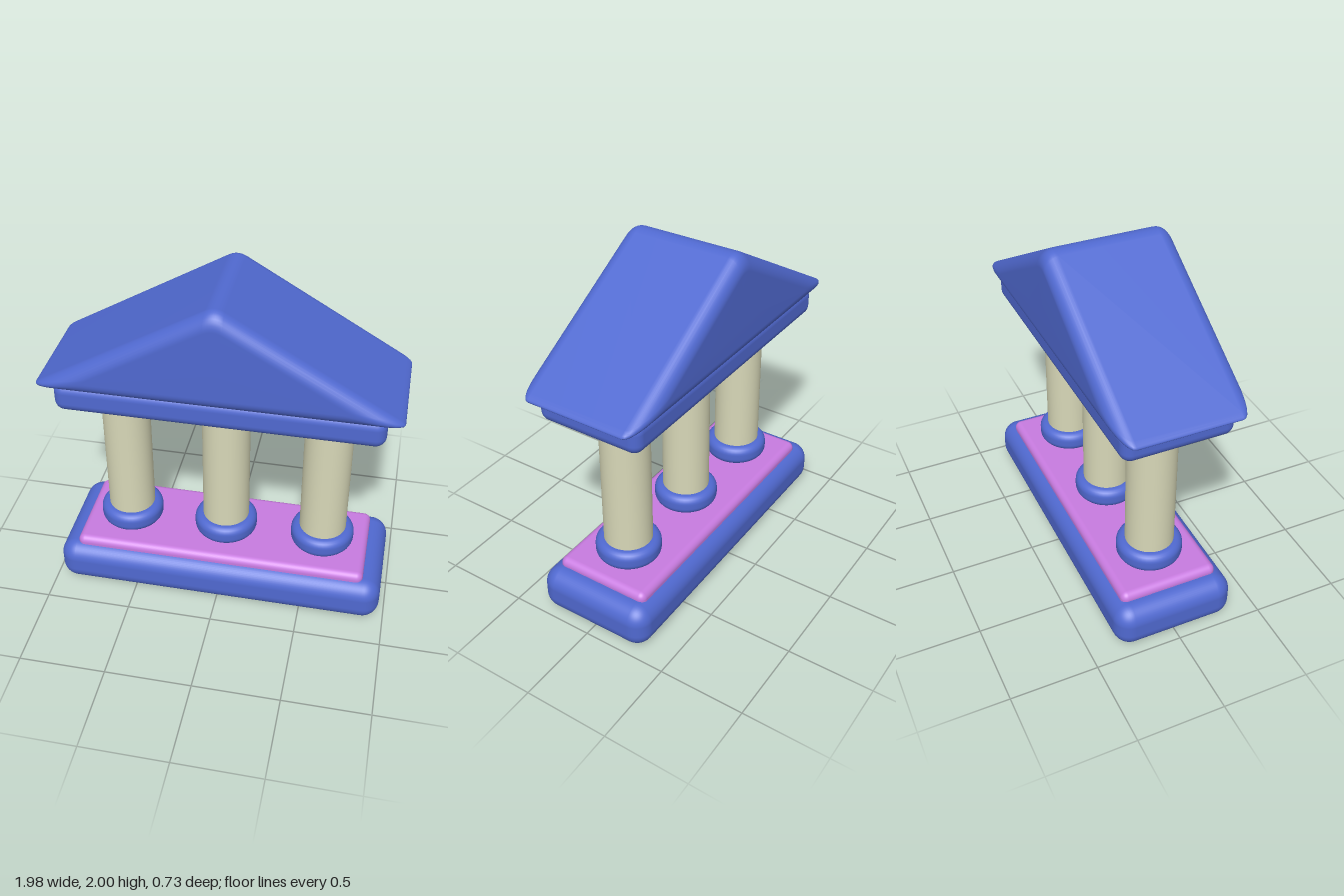
import * as THREE from 'three';
import { RoundedBoxGeometry } from 'three/addons/geometries/RoundedBoxGeometry.js';

const blue = new THREE.MeshStandardMaterial({ name: 'blue', color: 0x5069d0 });
const stone = new THREE.MeshStandardMaterial({ name: 'pale stone', color: 0xd8d8b8 });
const pink = new THREE.MeshStandardMaterial({ name: 'orchid pink', color: 0xc87be0 });

function addMesh(parent, name, geometry, material, x = 0, y = 0, z = 0) {
  const mesh = new THREE.Mesh(geometry, material);
  mesh.name = name;
  mesh.position.set(x, y, z);
  parent.add(mesh);
  return mesh;
}

// Rounded slab given by half width, bottom, top and half depth
function addSlab(parent, name, material, hx, y0, y1, hz, radius) {
  const geometry = new RoundedBoxGeometry(hx * 2, y1 - y0, hz * 2, 6, radius);
  addMesh(parent, name, geometry, material, 0, (y0 + y1) / 2, 0);
}

// Round disc with softened rims, standing on y = 0
function softDisc(radius, height, r) {
  const points = [new THREE.Vector2(0, 0)];
  const steps = 6;
  for (const [cy, start] of [[r, -Math.PI / 2], [height - r, 0]]) {
    for (let i = 0; i <= steps; i++) {
      const a = start + (i / steps) * Math.PI / 2;
      points.push(new THREE.Vector2(radius - r + r * Math.cos(a), cy + r * Math.sin(a)));
    }
  }
  points.push(new THREE.Vector2(0, height));
  return new THREE.LatheGeometry(points, 48);
}

// Triangle outline moved inward by d, with its three corners rounded
function roofOutline(d) {
  const bottom = 1.42, slope = 0.58, peak = 2.014;
  const y0 = bottom + d;
  const y1 = peak - d * Math.hypot(1, slope);
  const hx = (y1 - y0) / slope;
  const corners = [[-hx, y0], [hx, y0], [0, y1]].map(([x, y]) => new THREE.Vector2(x, y));
  const cuts = [0.078, 0.078, 0.058];
  const points = [];
  corners.forEach((c, i) => {
    const toward = (other) => c.clone().add(other.clone().sub(c).setLength(cuts[i]));
    const curve = new THREE.QuadraticBezierCurve(
      toward(corners[(i + 2) % 3]), c, toward(corners[(i + 1) % 3]));
    points.push(...curve.getPoints(8));
  });
  return points;
}

// Gabled roof: outlines stacked along z with a rounded bevel at both ends
function roofGeometry(halfDepth, bevel) {
  const rings = [];
  const steps = 8;
  for (const side of [-1, 1]) {
    for (let i = 0; i <= steps; i++) {
      const a = (side < 0 ? steps - i : i) / steps * Math.PI / 2;
      const z = side * (halfDepth - bevel + bevel * Math.sin(a));
      rings.push(roofOutline(bevel * (1 - Math.cos(a))).map((p) => [p.x, p.y, z]));
    }
  }
  const n = rings[0].length;
  const positions = rings.flat(2);
  const index = [];
  for (let r = 0; r < rings.length - 1; r++) {
    for (let i = 0; i < n; i++) {
      const j = (i + 1) % n;
      const a = r * n + i, b = r * n + j, c = a + n, e = b + n;
      index.push(a, b, e, a, e, c);
    }
  }
  // Flat gable ends
  const back = positions.length / 3, front = back + 1;
  positions.push(0, 1.65, -halfDepth, 0, 1.65, halfDepth);
  const last = (rings.length - 1) * n;
  for (let i = 0; i < n; i++) {
    const j = (i + 1) % n;
    index.push(back, j, i, front, last + i, last + j);
  }
  const geometry = new THREE.BufferGeometry();
  geometry.setAttribute('position', new THREE.Float32BufferAttribute(positions, 3));
  geometry.setIndex(index);
  geometry.computeVertexNormals();
  return geometry;
}

export function createModel() {
  const model = new THREE.Group();
  model.name = 'temple';

  // Steps
  addSlab(model, 'base', blue, 0.968, 0, 0.265, 0.352, 0.1);
  addSlab(model, 'floor', pink, 0.86, 0.2, 0.31, 0.288, 0.04);

  // Columns with round foot and capital
  const shaft = new THREE.CylinderGeometry(0.138, 0.138, 0.88, 48, 1, true);
  const disc = softDisc(0.187, 0.12, 0.045);
  for (const x of [-0.586, 0, 0.586]) {
    const column = new THREE.Group();
    column.name = 'column';
    column.position.x = x;
    addMesh(column, 'shaft', shaft, stone, 0, 0.81, 0);
    addMesh(column, 'foot', disc, blue, 0, 0.305, 0);
    addMesh(column, 'capital', disc, blue, 0, 1.203, 0);
    model.add(column);
  }

  // Beam and roof
  addSlab(model, 'beam', blue, 0.9, 1.26, 1.44, 0.313, 0.06);
  addMesh(model, 'roof', roofGeometry(0.366, 0.08), blue);
  return model;
}
